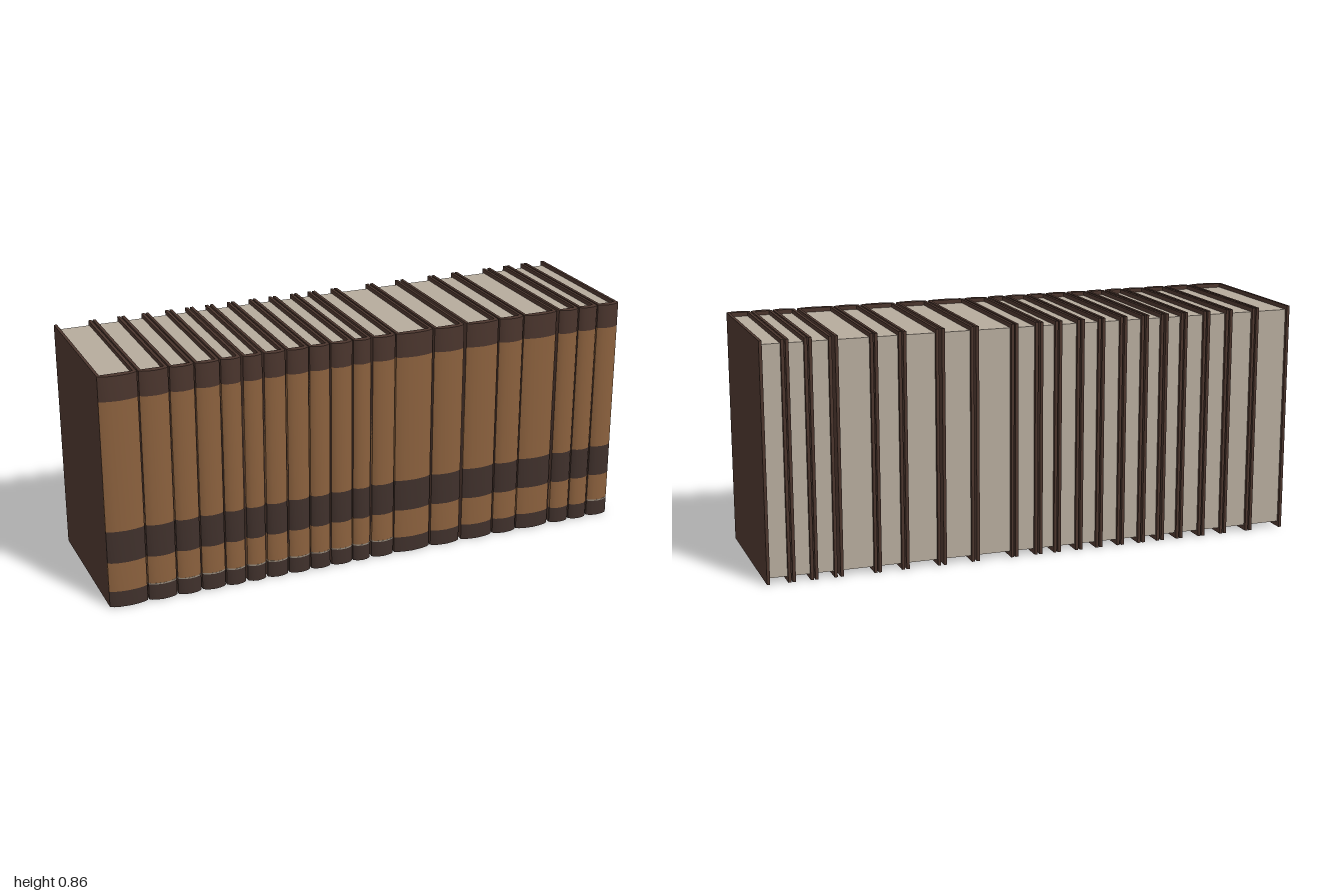
import * as THREE from 'three';
import { toCreasedNormals } from 'three/addons/utils/BufferGeometryUtils.js';

const HEIGHT = 0.86, BACK = -0.292, HINGE = 0.277, BULGE = 0.016, BOARD = 0.011;

// left and right edge of every book along x
const BOOKS = [
  [-1, -0.862], [-0.857, -0.754], [-0.749, -0.663], [-0.658, -0.572], [-0.567, -0.495],
  [-0.487, -0.417], [-0.41, -0.332], [-0.326, -0.246], [-0.241, -0.166], [-0.16, -0.08],
  [-0.075, -0.008], [0, 0.086], [0.091, 0.233], [0.241, 0.358], [0.369, 0.497],
  [0.503, 0.599], [0.604, 0.738], [0.749, 0.829], [0.834, 0.909], [0.914, 1],
];

function material(name, color) {
  const m = new THREE.MeshStandardMaterial({ color });
  m.name = name;
  return m;
}

function box(name, mat, x0, x1, y0, y1, z0, z1) {
  const mesh = new THREE.Mesh(new THREE.BoxGeometry(x1 - x0, y1 - y0, z1 - z0), mat);
  mesh.position.set((x0 + x1) / 2, (y0 + y1) / 2, (z0 + z1) / 2);
  mesh.name = name;
  return mesh;
}

// rounded spine slab between two heights
function spineBand(name, mat, x0, x1, y0, y1, grow = 0) {
  const curve = [[0, 0], [0.09, 0.45], [0.25, 0.8], [0.5, 1], [0.75, 0.8], [0.91, 0.45], [1, 0]];
  const outline = curve.map(([u, b]) =>
    new THREE.Vector2(x0 + u * (x1 - x0), -(HINGE + grow + b * BULGE)));
  outline.push(new THREE.Vector2(x1, -(HINGE - BOARD)), new THREE.Vector2(x0, -(HINGE - BOARD)));
  const geo = new THREE.ExtrudeGeometry(new THREE.Shape(outline), { depth: y1 - y0, bevelEnabled: false });
  geo.rotateX(-Math.PI / 2).translate(0, y0, 0);
  const mesh = new THREE.Mesh(toCreasedNormals(geo, 0.6), mat);
  mesh.name = name;
  return mesh;
}

export function createModel() {
  const cover = material('cover brown', 0x4a352d);
  const dark = material('dark band brown', 0x3f302b);
  const tan = material('spine tan', 0x8a603d);
  const paper = material('page paper', 0xb5aa9c);
  const pale = material('pale trim', 0x918678);

  const bands = [
    ['spineFoot', dark, 0, 0.06],
    ['spineLowerPanel', tan, 0.06, 0.17],
    ['spineMiddleBand', dark, 0.17, 0.29],
    ['spineUpperPanel', tan, 0.29, 0.77],
    ['spineHead', cover, 0.77, HEIGHT],
  ];

  const model = new THREE.Group();
  model.name = 'bookRow';
  BOOKS.forEach(([x0, x1], i) => {
    const book = new THREE.Group();
    book.name = `book${i + 1}`;
    // boards on both sides
    book.add(box('rightBoard', cover, x0, x0 + BOARD, 0, HEIGHT, BACK, HINGE));
    book.add(box('leftBoard', cover, x1 - BOARD, x1, 0, HEIGHT, BACK, HINGE));
    // page block, set in from the cover edges
    book.add(box('pages', paper, x0 + BOARD, x1 - BOARD, 0.02, HEIGHT - 0.015, BACK + 0.012, HINGE - BOARD));
    // banded spine
    for (const [name, mat, y0, y1] of bands) book.add(spineBand(name, mat, x0, x1, y0, y1));
    // hairline above the foot of some spines
    if ((i > 0 && i < 12) || i === 19) book.add(spineBand('spineTrim', pale, x0, x1, 0.06, 0.065, 0.0006));
    model.add(book);
  });
  return model;
}
